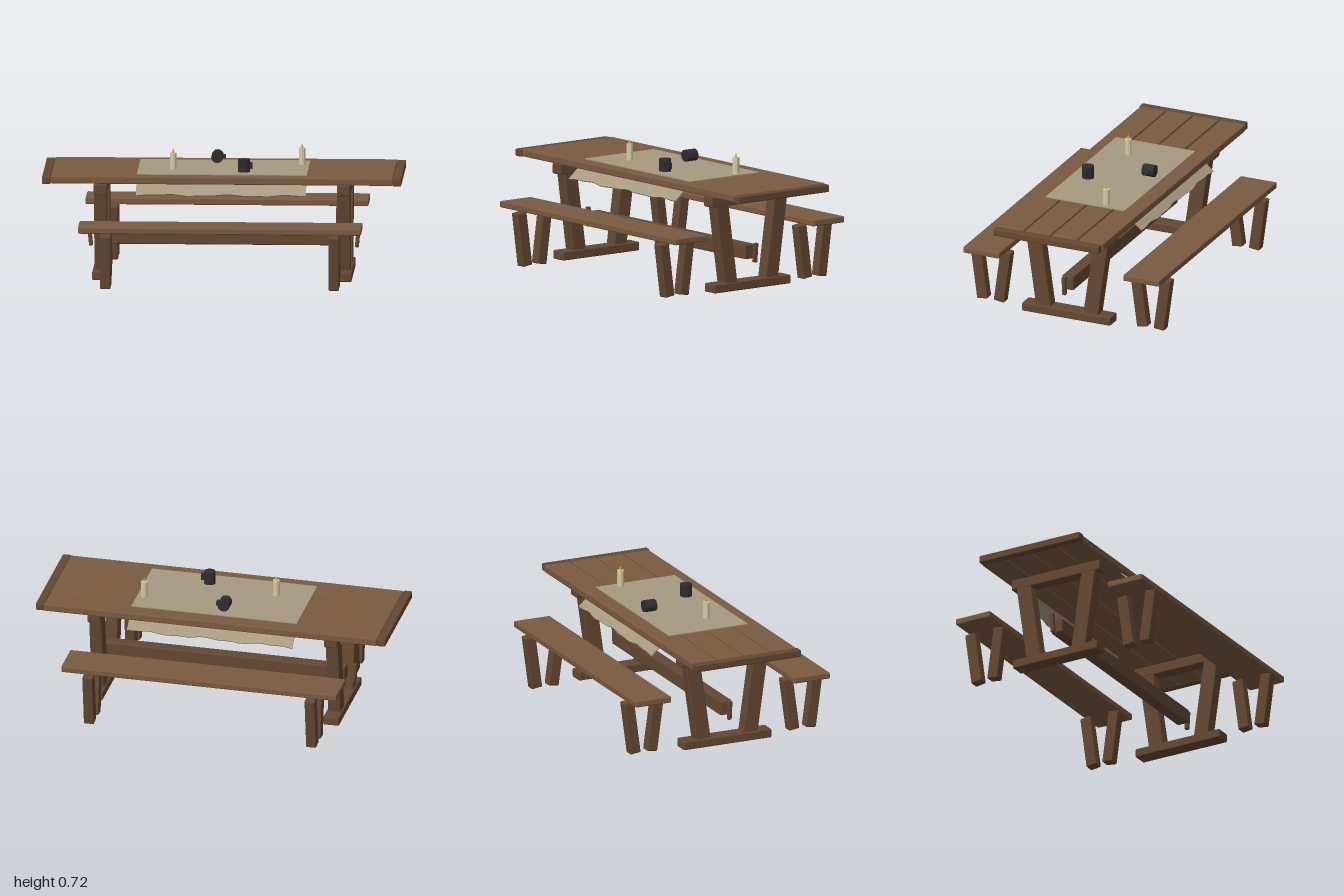
import * as THREE from 'three';
import { RoundedBoxGeometry } from 'three/addons/geometries/RoundedBoxGeometry.js';

const mat = (color, extra = {}) => {
  const m = new THREE.MeshStandardMaterial({ color, flatShading: true, ...extra });
  return m;
};

export function createModel() {
  const model = new THREE.Group();
  model.name = 'trestleTableWithBenches';
  const wood = mat(0x7a5a40), darkWood = mat(0x644832);
  const linen = mat(0xa89a80, { side: THREE.DoubleSide });
  const wax = mat(0xd8cba4), flameMat = mat(0xc9a95a), iron = mat(0x2e2c30);

  const add = (name, geometry, material, x = 0, y = 0, z = 0, parent = model) => {
    const mesh = new THREE.Mesh(geometry, material);
    mesh.name = name;
    mesh.position.set(x, y, z);
    parent.add(mesh);
    return mesh;
  };
  // Board with chamfered edges
  const board = (w, h, d, r = 0.006) => new RoundedBoxGeometry(w, h, d, 1, r);

  // Table top: four planks and two end boards
  for (let i = 0; i < 4; i++) {
    add('tablePlank', board(1.904, 0.042, 0.153), wood, 0, 0.576, -0.255 + i * 0.1625);
  }
  for (const s of [-1, 1]) {
    add('endBoard', board(0.048, 0.042, 0.645), darkWood, s * 0.976, 0.574, -0.003);
  }

  // Trestles: foot, top beam, two leaning legs and a wedge
  for (const s of [-1, 1]) {
    const trestle = new THREE.Group();
    trestle.name = 'trestle';
    trestle.position.x = s * 0.677;
    model.add(trestle);
    add('foot', board(0.09, 0.05, 0.54), darkWood, 0, 0.03, 0, trestle);
    add('topBeam', board(0.074, 0.06, 0.566), darkWood, 0, 0.519, 0, trestle);
    for (const side of [-1, 1]) {
      const leg = board(0.072, 0.455, 0.09);
      const p = leg.attributes.position;
      // Lean outwards towards the top
      for (let i = 0; i < p.count; i++) p.setZ(i, p.getZ(i) + side * 0.142 * p.getY(i));
      leg.computeVertexNormals();
      add('tableLeg', leg, darkWood, 0, 0.272, side * 0.176, trestle);
    }
    const wedge = add('wedge', board(0.022, 0.11, 0.022, 0.003), darkWood, s * 0.068, 0.211, 0, trestle);
    wedge.rotation.z = -s * 0.1;
  }
  add('stretcher', board(1.4, 0.082, 0.07), darkWood, 0, 0.211, 0);

  // Benches: seat and splayed leg pairs
  for (const side of [-1, 1]) {
    const bench = new THREE.Group();
    bench.name = 'bench';
    bench.position.z = side * 0.489;
    model.add(bench);
    add('benchSeat', board(1.576, 0.036, 0.22), wood, 0, 0.34, 0, bench);
    for (const sx of [-1, 1]) {
      for (const lean of [-1, 1]) {
        const leg = add('benchLeg', board(0.058, 0.306, 0.064), darkWood, sx * 0.636, 0.161, lean * 0.071, bench);
        leg.rotation.x = lean * 0.135;
      }
    }
  }

  // Table runner: flat cloth and two slanted drapes with a wavy hem
  add('runnerTop', new THREE.BoxGeometry(0.946, 0.006, 0.485), linen, -0.002, 0.599, -0.002);
  for (const side of [-1, 1]) {
    const drape = new THREE.BoxGeometry(0.946, 0.1, 0.007, 28, 1, 1);
    const p = drape.attributes.position;
    for (let i = 0; i < p.count; i++) {
      if (p.getY(i) > 0) continue;
      const x = p.getX(i);
      p.setY(i, p.getY(i) + 0.005 * Math.sin(x * 18 + 1) + 0.003 * Math.sin(x * 41));
    }
    drape.computeVertexNormals();
    const mesh = add('runnerDrape', drape, linen, -0.002, 0.533, side * 0.312);
    mesh.rotation.x = -side * 0.87;
  }

  // Candles
  for (const [x, z] of [[-0.28, 0.078], [0.43, -0.112]]) {
    const candle = new THREE.Group();
    candle.name = 'candle';
    candle.position.set(x, 0.6, z);
    model.add(candle);
    add('candleStick', new THREE.CylinderGeometry(0.019, 0.019, 0.094, 10), wax, 0, 0.047, 0, candle);
    add('candleFlame', new THREE.ConeGeometry(0.009, 0.028, 8), flameMat, 0, 0.107, 0, candle);
  }

  // Mugs: one standing, one lying on its side
  const makeMug = (x, y, z) => {
    const mug = new THREE.Group();
    mug.name = 'mug';
    mug.position.set(x, y, z);
    model.add(mug);
    add('mugBody', new THREE.CylinderGeometry(0.034, 0.034, 0.07, 12), iron, 0, 0, 0, mug);
    add('mugHandle', new THREE.BoxGeometry(0.02, 0.036, 0.02), iron, 0.037, 0, 0, mug);
    return mug;
  };
  makeMug(0.117, 0.637, 0.142);
  makeMug(-0.043, 0.636, -0.161).rotation.x = Math.PI / 2;

  return model;
}
